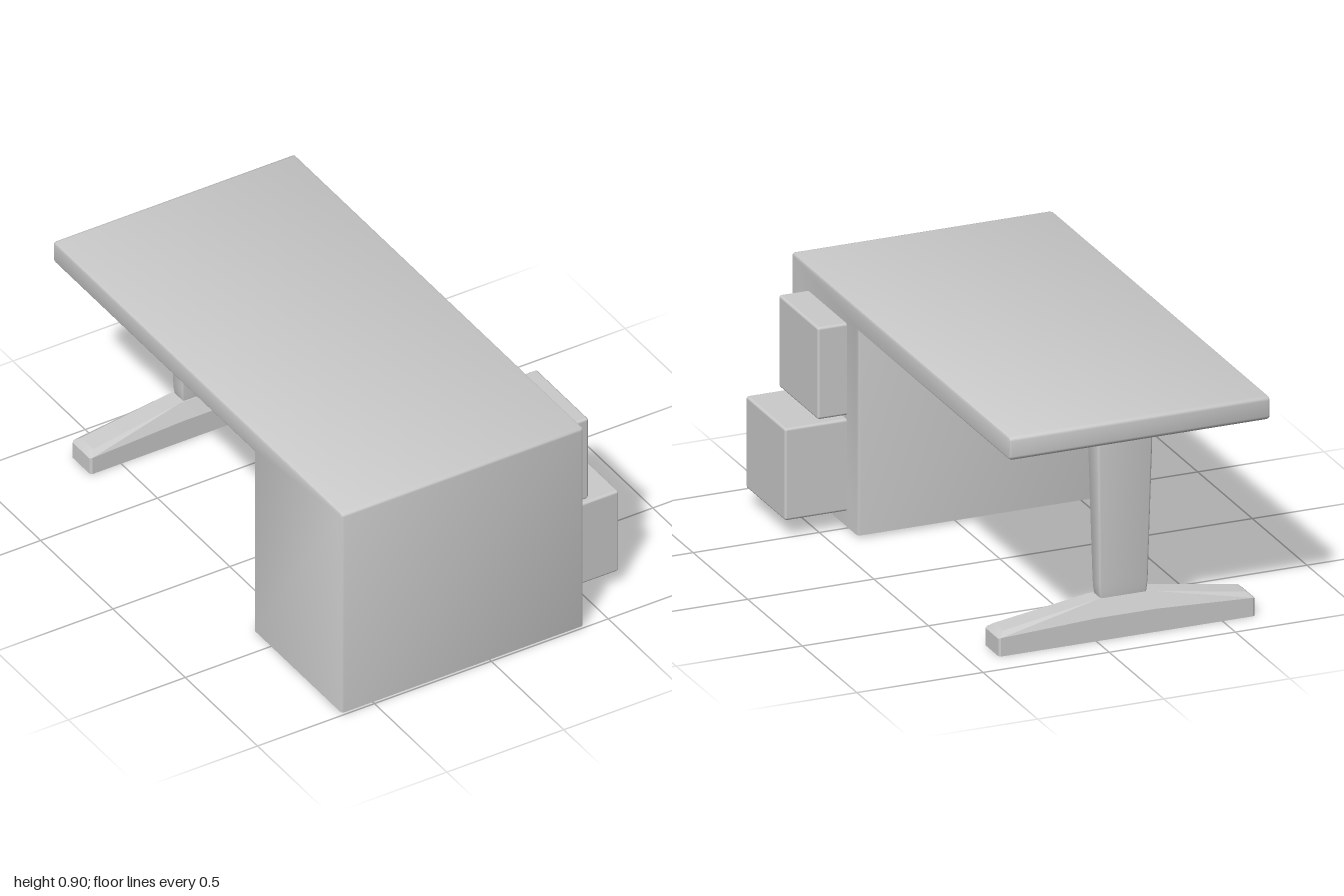
import * as THREE from 'three';
import { toCreasedNormals } from 'three/addons/utils/BufferGeometryUtils.js';
import { RoundedBoxGeometry } from 'three/addons/geometries/RoundedBoxGeometry.js';
import { ConvexGeometry } from 'three/addons/geometries/ConvexGeometry.js';

const material = new THREE.MeshStandardMaterial({ color: 0xcccccc });
const shellMaterial = new THREE.MeshStandardMaterial({ color: 0xcccccc, side: THREE.DoubleSide });

const X0 = -0.64, X1 = 0.395; // width of the desk
const CX = (X0 + X1) / 2;
const LEG_Z = -0.817;

// Desktop and cabinet: one L-shaped profile, open underneath the cabinet
function deskGeometry() {
  const b = 0.012, r = 0.015, floor = 0.01;
  const s = new THREE.Shape();
  s.moveTo(-1, -0.02);
  s.lineTo(-1, 0.9 - r);
  s.quadraticCurveTo(-1, 0.9, -1 + r, 0.9);
  s.lineTo(1 - r, 0.9);
  s.quadraticCurveTo(1, 0.9, 1, 0.9 - r);
  s.lineTo(1, 0.81 + r);
  s.quadraticCurveTo(1, 0.81, 1 - r, 0.81);
  s.lineTo(-0.39, 0.81);
  s.lineTo(-0.39, -0.02);
  const g = new THREE.ExtrudeGeometry(s, {
    depth: X1 - X0 - 2 * b, curveSegments: 3,
    bevelThickness: b, bevelSize: b, bevelOffset: -b, bevelSegments: 2,
  });
  g.rotateY(Math.PI / 2).translate(X0 + b, 0, 0);

  // Trim at the floor line and leave the bottom open
  const p = g.attributes.position, kept = [];
  for (let i = 0; i < p.count; i += 3) {
    const ys = [0, 1, 2].map((k) => Math.max(floor, p.getY(i + k)));
    if (Math.max(...ys) < floor + 1e-4) continue;
    for (let k = 0; k < 3; k++) kept.push(p.getX(i + k), ys[k], p.getZ(i + k));
  }
  const out = new THREE.BufferGeometry();
  out.setAttribute('position', new THREE.Float32BufferAttribute(kept, 3));
  return toCreasedNormals(out, 0.7);
}

// Leg: a rounded post that narrows towards the foot
function legGeometry() {
  const y0 = 0.13, y1 = 0.82;
  const g = new RoundedBoxGeometry(1, y1 - y0, 1, 2, 0.08);
  const p = g.attributes.position;
  for (let i = 0; i < p.count; i++) {
    const t = THREE.MathUtils.clamp(p.getY(i) / (y1 - y0) + 0.5, 0, 1);
    const y = y0 + t * (y1 - y0);
    p.setXYZ(i, p.getX(i) * (0.19 + 0.03 * t), y, p.getZ(i) * (0.065 + 0.043 * t));
  }
  g.computeVertexNormals();
  return toCreasedNormals(g, 0.6);
}

// Foot: a long bar rising to a narrow ridge under the leg
function footGeometry() {
  const L = 0.508; // half length
  const points = [];
  const sections = [ // half x, y, half z
    [L, 0, 0.058], [L - 0.008, 0, 0.066],
    [L, 0.068, 0.058], [L - 0.008, 0.072, 0.066],
    [L - 0.025, 0.09, 0.042], [0.12, 0.09, 0.066], [0.11, 0.15, 0.036],
  ];
  for (const [x, y, z] of sections)
    for (const sx of [-1, 1])
      for (const sz of [-1, 1]) points.push(new THREE.Vector3(sx * x, y, sz * z));
  return toCreasedNormals(new ConvexGeometry(points), 0.3);
}

export function createModel() {
  const model = new THREE.Group();
  const add = (name, geometry, x = 0, y = 0, z = 0, mat = material) => {
    const mesh = new THREE.Mesh(geometry, mat);
    mesh.name = name;
    mesh.position.set(x, y, z);
    model.add(mesh);
  };

  add('desktopAndCabinet', deskGeometry(), 0, 0, 0, shellMaterial);
  add('leg', legGeometry(), CX, 0, LEG_Z);
  add('foot', footGeometry(), CX, 0, LEG_Z);

  // Two drawers pulled out by different amounts
  const drawers = [['upperDrawer', 0.51, 0.625], ['lowerDrawer', 0.64, 0.25]];
  for (const [name, front, y] of drawers) {
    const back = X1 - 0.02;
    const g = new RoundedBoxGeometry(front - back, 0.36, 0.36, 2, 0.01);
    add(name, g, (front + back) / 2, y, 0.67);
  }
  return model;
}
